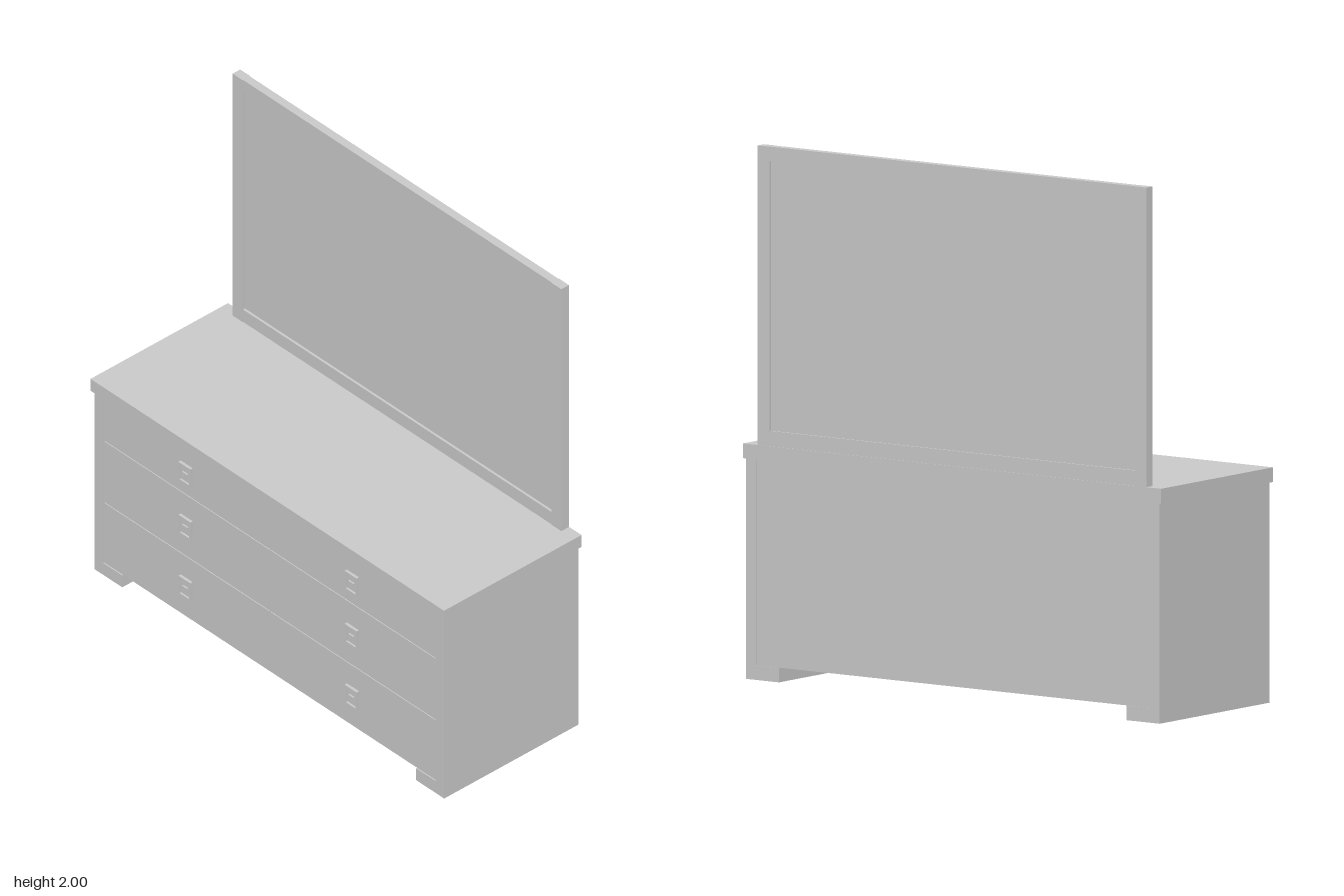
import * as THREE from 'three';

const material = new THREE.MeshStandardMaterial({ color: 0xcccccc, flatShading: true });

// Box given by its limits on each axis
function box(name, [x0, x1], [y0, y1], [z0, z1]) {
  const mesh = new THREE.Mesh(new THREE.BoxGeometry(x1 - x0, y1 - y0, z1 - z0), material);
  mesh.position.set((x0 + x1) / 2, (y0 + y1) / 2, (z0 + z1) / 2);
  mesh.name = name;
  return mesh;
}

// Square pull: a thin rim around a plate with a small finger tab
function makeHandle() {
  const handle = new THREE.Group();
  handle.name = 'handle';
  const w = 0.033, h = 0.042, rim = 0.007;
  const outline = new THREE.Shape([[-w, -h], [w, -h], [w, h], [-w, h]].map(p => new THREE.Vector2(...p)));
  const a = w - rim, b = h - rim;
  outline.holes.push(new THREE.Path([[-a, -b], [-a, b], [a, b], [a, -b]].map(p => new THREE.Vector2(...p))));
  const frame = new THREE.Mesh(new THREE.ExtrudeGeometry(outline, { depth: 0.012, bevelEnabled: false }), material);
  frame.name = 'handleRim';
  handle.add(
    frame,
    box('handlePlate', [-a, a], [-b, b], [0, 0.004]),
    box('handleTab', [-0.014, 0.014], [-0.004, 0.006], [0.004, 0.011])
  );
  return handle;
}

export function createModel() {
  const model = new THREE.Group();
  model.name = 'dresserWithMirror';

  // Cabinet
  model.add(
    box('top', [-0.968, 0.968], [0.825, 0.88], [-0.345, 0.345]),
    box('carcass', [-0.91, 0.91], [0.055, 0.825], [-0.338, 0.31])
  );
  for (const s of [-1, 1]) {
    const span = (a, b) => (s > 0 ? [a, b] : [-b, -a]);
    model.add(
      box('sidePanel', span(0.91, 0.958), [0.055, 0.825], [-0.34, 0.335]),
      box('foot', span(0.805, 0.958), [0, 0.055], [-0.34, 0.335])
    );

    // Drawers with a narrow gap around each front
    for (const [y0, y1, handleY] of [[0.055, 0.335, 0.193], [0.335, 0.62, 0.475], [0.62, 0.825, 0.72]]) {
      model.add(box('drawerFront', span(0.002, 0.907), [y0 + 0.002, y1 - 0.002], [0.31, 0.332]));
      const handle = makeHandle();
      handle.position.set(s * 0.455, handleY, 0.332);
      model.add(handle);
    }

    // Mirror posts
    model.add(box('mirrorPost', span(0.846, 0.9), [0.88, 2], [-0.344, -0.306]));
  }

  // Mirror rails and inset pane
  model.add(
    box('mirrorTopRail', [-0.846, 0.846], [1.947, 2], [-0.342, -0.308]),
    box('mirrorBottomRail', [-0.846, 0.846], [0.88, 0.937], [-0.342, -0.308]),
    box('mirrorPane', [-0.846, 0.846], [0.937, 1.947], [-0.335, -0.318])
  );
  return model;
}
